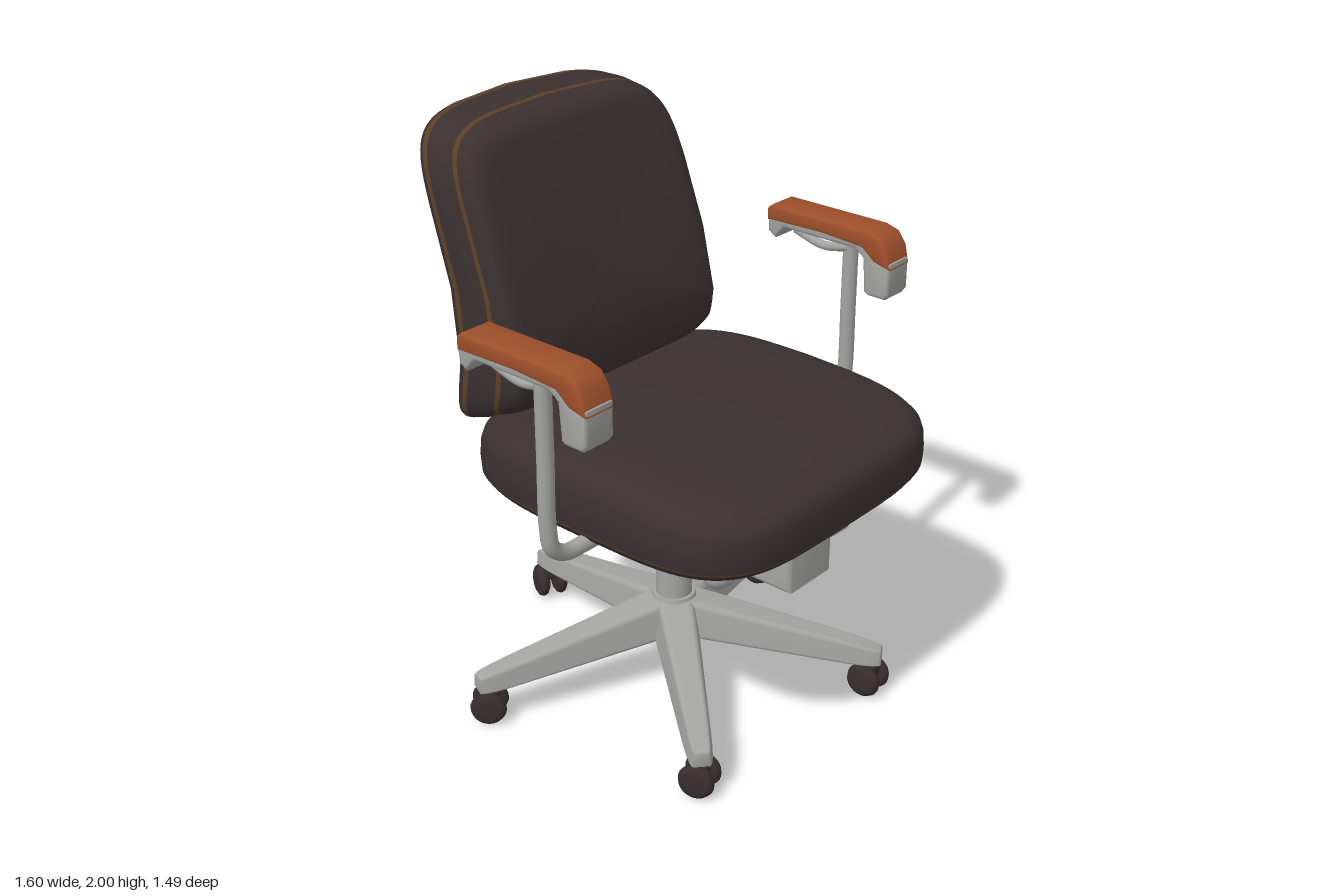
import * as THREE from 'three';
import { mergeVertices, toCreasedNormals } from 'three/addons/utils/BufferGeometryUtils.js';
import { RoundedBoxGeometry } from 'three/addons/geometries/RoundedBoxGeometry.js';

const V = (x, y, z) => new THREE.Vector3(x, y, z);
const material = (name, color, side = THREE.FrontSide) => {
  const m = new THREE.MeshStandardMaterial({ color, side });
  m.name = name;
  return m;
};

// linear lookup in a list of [position, value]
function lookup(table, p) {
  if (p <= table[0][0]) return table[0][1];
  for (let i = 1; i < table.length; i++) {
    const [a, va] = table[i - 1], [b, vb] = table[i];
    if (p <= b) return va + ((vb - va) * (p - a)) / (b - a);
  }
  return table[table.length - 1][1];
}

// upholstered cushion: superellipse rings [scale, depth, material index] placed by a rule
function cushion(rings, power, place, seg = 72) {
  const pos = [], idx = [], geo = new THREE.BufferGeometry();
  const se = (v) => Math.sign(v) * Math.abs(v) ** (2 / power);
  rings.forEach(([k, s, mat = 0], r) => {
    for (let i = 0; i < seg; i++) {
      const a = (i / seg) * Math.PI * 2;
      pos.push(...place(se(Math.cos(a)) * k, se(Math.sin(a)) * k, s));
      if (r === rings.length - 1) continue;
      const j = (i + 1) % seg, p = r * seg, q = p + seg;
      idx.push(p + i, q + i, p + j, p + j, q + i, q + j);
    }
    if (r < rings.length - 1) geo.addGroup(r * seg * 6, seg * 6, mat);
  });
  geo.setAttribute('position', new THREE.Float32BufferAttribute(pos, 3));
  geo.setIndex(idx);
  geo.computeVertexNormals();
  return geo;
}

// side profile given as [z, y], extruded across x
function profile(points, width, bevel = 0.015) {
  const shape = new THREE.Shape(points.map(([z, y]) => new THREE.Vector2(z, y)));
  const depth = width - bevel * 2;
  const geo = new THREE.ExtrudeGeometry(shape, {
    depth, bevelThickness: bevel, bevelSize: bevel, bevelOffset: -bevel, bevelSegments: 3,
  });
  geo.translate(0, 0, -depth / 2).rotateY(-Math.PI / 2);
  return toCreasedNormals(geo, 0.7);
}

const tube = (points, r, n = 40) =>
  new THREE.TubeGeometry(new THREE.CatmullRomCurve3(points, false, 'centripetal'), n, r, 14);

export function createModel() {
  const model = new THREE.Group();
  model.name = 'officeChair';
  const leather = material('darkLeather', 0x3a3030);
  const piping = material('brownPiping', 0x5c4026);
  const metal = material('greyMetal', 0xa3a3a0);
  const wood = material('orangeWood', 0x9e4f2b);
  const rubber = material('casterRubber', 0x382d2f);

  const add = (name, geo, mat, x = 0, y = 0, z = 0, parent = model) => {
    const m = new THREE.Mesh(geo, mat);
    m.name = name;
    m.position.set(x, y, z);
    parent.add(m);
    return m;
  };
  const cyl = (name, r1, r2, y0, y1, x, z) =>
    add(name, new THREE.CylinderGeometry(r1, r2, y1 - y0, 28), metal, x, (y0 + y1) / 2, z);

  // seat cushion, crowned on top
  const seatRings = [
    [0.001, 0], [0.3, 0], [0.6, 0], [0.8, 0.01], [0.9, 0.05], [0.95, 0.12], [0.985, 0.22], [1, 0.36],
    [1.005, 0.6], [1, 0.82, 1], [0.99, 0.87], [0.97, 0.95], [0.93, 1], [0.5, 1], [0.001, 1],
  ];
  const seatGeo = cushion(seatRings, 4.2, (u, v, s) => {
    const x = u * 0.61, z = 0.15 - v * 0.6;
    const top = 1.11 - 0.05 * ((z - 0.1) / 0.65) ** 2 - 0.05 * x * x;
    const bottom = 0.845 + 0.03 * Math.max(0, -z);
    return [x, top + (bottom - top) * s, z];
  });
  add('seatCushion', seatGeo, [leather, piping]);

  // backrest, reclined and bent at the lumbar, with two piping bands
  const front = [[0.95, -0.31], [1.08, -0.25], [1.16, -0.205], [1.25, -0.195], [1.35, -0.205],
    [1.6, -0.28], [1.8, -0.36], [1.95, -0.425], [2, -0.45]];
  const back = [[0.95, -0.6], [1.1, -0.57], [1.22, -0.55], [1.32, -0.545], [1.42, -0.56],
    [1.7, -0.65], [1.9, -0.715], [2, -0.745]];
  const backRings = [
    [0.001, 0.05], [0.15, 0.05], [0.3, 0.045], [0.45, 0.035], [0.6, 0.02], [0.75, 0.01], [0.86, 0], [0.92, 0.02],
    [0.955, 0.07], [0.975, 0.16], [0.985, 0.27, 1], [0.988, 0.34], [1, 0.5], [1, 0.78, 1], [0.995, 0.87],
    [0.98, 0.95], [0.95, 0.99], [0.88, 1], [0.75, 1], [0.6, 1], [0.45, 1], [0.3, 1], [0.15, 1], [0.001, 1],
  ];
  const backGeo = cushion(backRings, 7, (u, v, s) => {
    const y0 = 1.475 + v * 0.525;
    const x = u * (0.5 + 0.012 * -v);
    const y = y0 + 0.11 * (1 - s) * Math.max(0, -v) ** 2 - 0.12 * x * x * Math.max(0, v);
    const zf = lookup(front, y), zb = lookup(back, y);
    return [x, y, zf + (zb - zf) * s + 0.3 * x * x * s];
  });
  add('backrest', backGeo, [leather, piping]);

  // bent tube carrying the backrest
  add('backSupportTube', tube([V(0, 1.07, -0.54), V(0, 1.06, -0.61), V(0, 1.0, -0.65), V(0, 0.92, -0.65),
    V(0, 0.855, -0.6), V(0, 0.835, -0.5), V(0, 0.825, -0.3), V(0, 0.81, 0.08)], 0.034, 60), metal);

  // armrests, posts and under-seat rails
  for (const side of [1, -1]) {
    const arm = new THREE.Group();
    arm.name = side > 0 ? 'leftArm' : 'rightArm';
    model.add(arm);
    const x = side * 0.735;
    add('armPad', profile([[-0.135, 1.47], [-0.135, 1.515], [-0.115, 1.53], [0.29, 1.53], [0.34, 1.515],
      [0.37, 1.475], [0.385, 1.41], [0.32, 1.425], [0.27, 1.465], [0.1, 1.475]], 0.125, 0.012), wood, x, 0, 0, arm);
    add('armPadBase', profile([[-0.135, 1.5], [-0.13, 1.43], [-0.1, 1.41], [-0.06, 1.455], [0.24, 1.455],
      [0.275, 1.43], [0.285, 1.31], [0.3, 1.3], [0.37, 1.3], [0.384, 1.32], [0.384, 1.43], [0.33, 1.46], [0.28, 1.5]],
      0.12, 0.012), metal, x, 0, 0, arm);
    add('armPost', tube([V(side * 0.75, 1.47, 0.175), V(side * 0.75, 1.2, 0.175), V(side * 0.75, 0.97, 0.175),
      V(side * 0.735, 0.89, 0.175), V(side * 0.68, 0.85, 0.175), V(side * 0.6, 0.845, 0.175),
      V(side * 0.42, 0.845, 0.175)], 0.027, 60), metal, 0, 0, 0, arm);
    add('armBrace', tube([V(x, 1.43, 0.18), V(x, 1.41, 0.07), V(x, 1.44, -0.05)], 0.016), metal, 0, 0, 0, arm);
    add('seatRail', new RoundedBoxGeometry(0.11, 0.035, 0.78, 2, 0.012), metal, side * 0.36, 0.838, -0.06, arm);
    // brace from the rail down to the mechanism
    add('railBrace', tube([V(side * 0.36, 0.83, 0.4), V(side * 0.33, 0.77, 0.42), V(side * 0.25, 0.75, 0.45)],
      0.018), metal, 0, 0, 0, arm);
  }
  add('seatCrossPlate', new RoundedBoxGeometry(0.78, 0.025, 0.13, 2, 0.01), metal, 0, 0.835, 0.13);

  // tilt mechanism
  add('tiltHousing', profile([[0.62, 0.62], [0.62, 0.79], [0.55, 0.8], [0.42, 0.765], [0.2, 0.68], [0.08, 0.64],
    [0.12, 0.62]], 0.22), metal, -0.025);
  add('tiltUpright', profile([[0.18, 0.62], [0.17, 0.76], [0.21, 0.83], [0.03, 0.83], [0.07, 0.77], [0.085, 0.62]],
    0.12), metal);
  add('columnBracket', profile([[0.24, 0.625], [0.21, 0.55], [0, 0.55], [-0.06, 0.575], [-0.06, 0.635],
    [0.1, 0.64]], 0.17), metal, -0.01);
  add('tensionKnob', new THREE.CylinderGeometry(0.06, 0.065, 0.17, 24).rotateZ(Math.PI / 2), metal, 0.165, 0.715, 0.51);
  add('tensionLever', tube([V(0.24, 0.71, 0.51), V(0.34, 0.7, 0.49), V(0.43, 0.7, 0.45)], 0.018), metal);
  add('heightKnob', new THREE.SphereGeometry(0.052, 20, 14), metal, -0.33, 0.75, 0.5).scale.set(1.3, 1, 1);
  add('heightLever', tube([V(-0.31, 0.75, 0.5), V(-0.23, 0.7, 0.4), V(-0.14, 0.635, 0.25), V(-0.05, 0.635, 0.15)],
    0.015), metal);

  // gas column
  cyl('columnSleeve', 0.06, 0.064, 0.3, 0.485, -0.01, 0.03);
  cyl('columnPiston', 0.045, 0.045, 0.48, 0.6, -0.01, 0.03);
  cyl('columnCollar', 0.065, 0.055, 0.5, 0.56, -0.01, 0.03);
  cyl('hub', 0.075, 0.11, 0.2, 0.34, -0.01, 0.03);

  // five tapered legs with twin-wheel casters
  const legGeo = (() => {
    const box = new RoundedBoxGeometry(1, 1, 1, 3, 0.16);
    box.deleteAttribute('normal');
    box.deleteAttribute('uv');
    const g = mergeVertices(box, 1e-4), p = g.attributes.position;
    for (let i = 0; i < p.count; i++) {
      const t = p.getX(i) + 0.5, v = p.getY(i) + 0.5;
      const top = 0.345 - 0.15 * t, bottom = 0.2 - 0.075 * t;
      p.setXYZ(i, t * 0.73, bottom + (top - bottom) * v, p.getZ(i) * (0.15 - 0.075 * t) * (1.15 - 0.3 * v));
    }
    g.computeVertexNormals();
    return g;
  })();
  const wheelGeo = new THREE.LatheGeometry([[0, -0.023], [0.04, -0.023], [0.056, -0.014], [0.062, 0],
    [0.056, 0.014], [0.04, 0.023], [0, 0.023]].map(([r, h]) => new THREE.Vector2(r, h)), 28).rotateZ(Math.PI / 2);
  const spins = [0.15, 0.1, 0.35, 0.7, -0.5];
  for (let i = 0; i < 5; i++) {
    const a = ((-12 + i * 72) * Math.PI) / 180;
    add('baseLeg', legGeo, metal, -0.01, 0, 0.03).rotation.y = -a;
    const caster = new THREE.Group();
    caster.name = 'caster';
    caster.position.set(Math.cos(a) * 0.69, 0, 0.02 + Math.sin(a) * 0.69);
    caster.rotation.y = spins[i];
    model.add(caster);
    for (const s of [-1, 1]) add('casterWheel', wheelGeo, rubber, s * 0.034, 0.062, 0, caster);
    add('casterHood', new RoundedBoxGeometry(0.06, 0.06, 0.07, 3, 0.015), rubber, 0, 0.1, 0, caster);
    add('casterStem', new THREE.CylinderGeometry(0.034, 0.03, 0.04, 16), metal, 0, 0.142, 0, caster);
  }
  return model;
}
